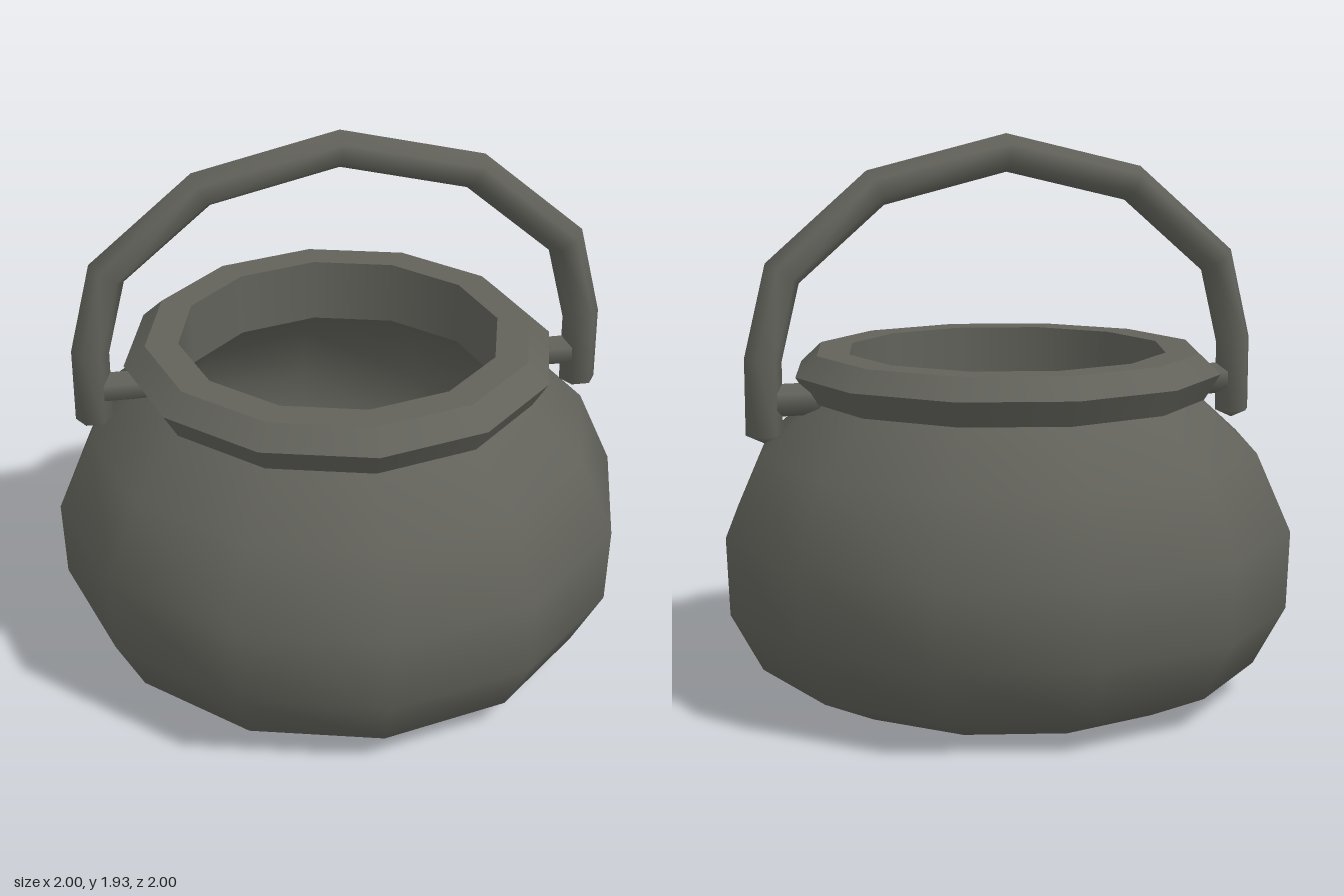
import * as THREE from 'three';

const iron = new THREE.MeshStandardMaterial({ color: 0x62625b });
iron.name = 'castIron';

function mesh(name, geometry) {
  const m = new THREE.Mesh(geometry, iron);
  m.name = name;
  return m;
}

// Twelve-sided turned surface, smooth along its own profile
function turned(name, profile) {
  const points = profile.map(([r, y]) => new THREE.Vector2(r, y));
  return mesh(name, new THREE.LatheGeometry(points, 12));
}

// Mitred six-sided bar following a path in the XY plane, with pointed ends
function bar(path, radius, tip) {
  const sides = 6, last = path.length - 1, pos = [], index = [];
  const dir = (a, b) => new THREE.Vector2().subVectors(path[b], path[a]).normalize();
  path.forEach((p, i) => {
    const before = dir(Math.max(i - 1, 0), Math.max(i, 1));
    const after = dir(Math.min(i, last - 1), Math.min(i + 1, last));
    const t = before.clone().add(after).normalize();
    const r = radius / t.dot(before);
    for (let k = 0; k < sides; k++) {
      const a = (k / sides) * Math.PI * 2, c = Math.cos(a) * r;
      pos.push(p.x - t.y * c, p.y + t.x * c, Math.sin(a) * radius);
    }
  });
  for (let i = 0; i < last; i++) {
    for (let k = 0; k < sides; k++) {
      const a = i * sides + k, b = i * sides + (k + 1) % sides;
      index.push(a, b, a + sides, b, b + sides, a + sides);
    }
  }
  // End tips
  const start = pos.length / 3, end = start + 1, ring = last * sides;
  const d0 = dir(0, 1), d1 = dir(last - 1, last);
  pos.push(path[0].x - d0.x * tip, path[0].y - d0.y * tip, 0);
  pos.push(path[last].x + d1.x * tip, path[last].y + d1.y * tip, 0);
  for (let k = 0; k < sides; k++) {
    const n = (k + 1) % sides;
    index.push(start, n, k, end, ring + k, ring + n);
  }
  const g = new THREE.BufferGeometry();
  g.setAttribute('position', new THREE.Float32BufferAttribute(pos, 3));
  g.setIndex(index);
  g.computeVertexNormals();
  return g;
}

export function createModel() {
  const group = new THREE.Group();
  group.name = 'cauldron';

  // Pot: outer belly, flared rim in crisp bands, then the hollow inside
  group.add(
    turned('belly', [[0, 0], [0.66, 0], [0.88, 0.105], [0.99, 0.31], [1, 0.58], [0.88, 0.85], [0.68, 1.03]]),
    turned('rimUnderside', [[0.695, 1.03], [0.75, 1.12]]),
    turned('rimBevel', [[0.75, 1.12], [0.675, 1.19]]),
    turned('rimTop', [[0.675, 1.19], [0.56, 1.19]]),
    turned('neckInside', [[0.56, 1.19], [0.56, 0.96]]),
    turned('bowlInside', [[0.56, 0.96], [0.77, 0.79], [0.88, 0.56], [0.87, 0.34], [0.78, 0.18], [0.6, 0.1], [0, 0.1]]),
    turned('neckSeam', [[0.68, 1.03], [0.695, 1.03]])
  );

  // Arched carrying handle
  const half = [[0.86, 0.93], [0.86, 1.185], [0.79, 1.475], [0.465, 1.755]];
  const path = [
    ...half.map(([x, y]) => new THREE.Vector2(-x, y)),
    new THREE.Vector2(0, 1.867),
    ...half.reverse().map(([x, y]) => new THREE.Vector2(x, y)),
  ];
  group.add(mesh('handle', bar(path, 0.064, 0.03)));

  // Pins joining the handle to the neck
  for (const side of [1, -1]) {
    const g = new THREE.CylinderGeometry(0.056, 0.056, 0.22, 6);
    g.rotateY(Math.PI / 6).rotateZ(Math.PI / 2);
    const pin = mesh(side > 0 ? 'leftPin' : 'rightPin', g);
    pin.position.set(side * 0.73, 1.045, 0);
    group.add(pin);
  }
  return group;
}
